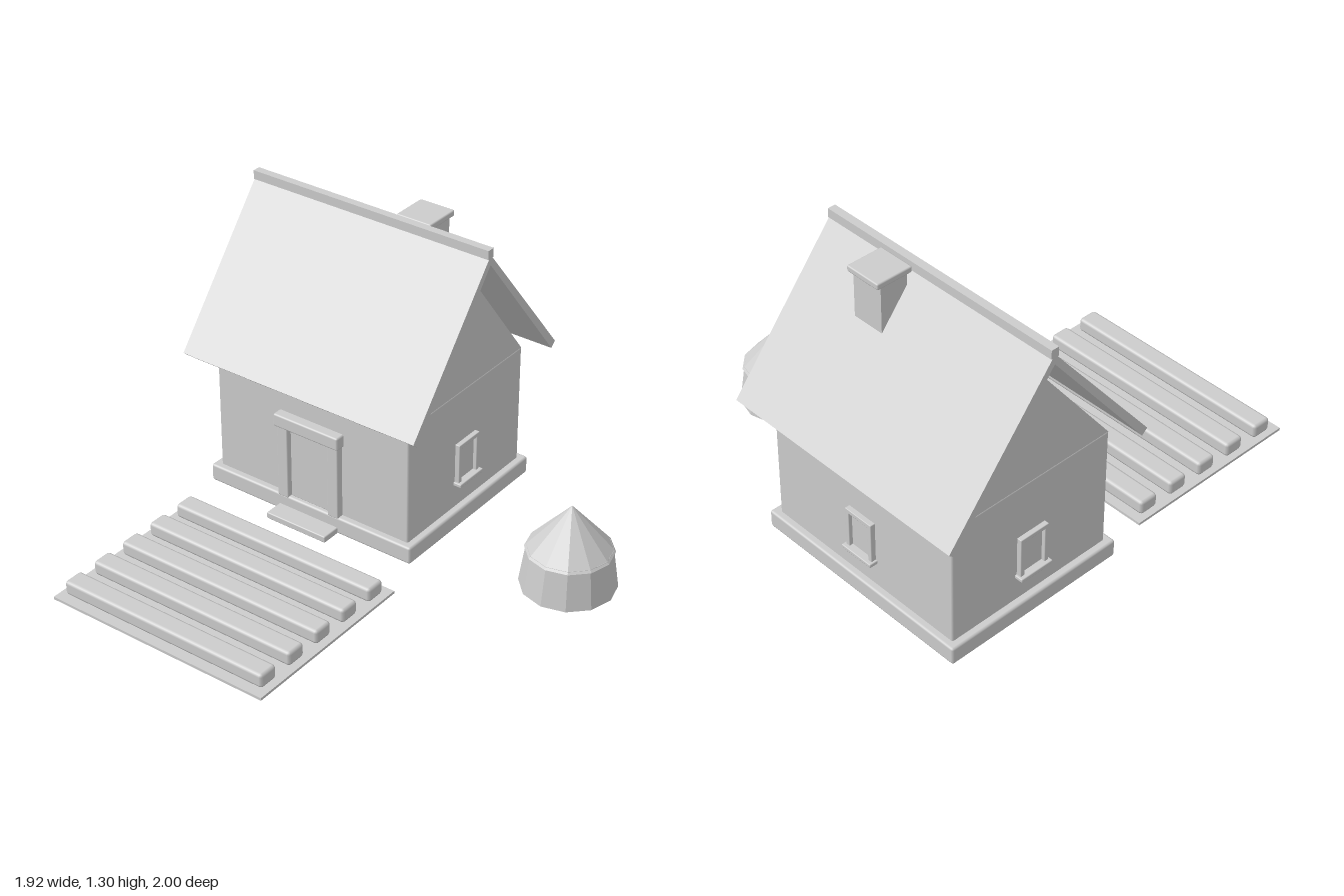
import * as THREE from 'three';
import { RoundedBoxGeometry } from 'three/addons/geometries/RoundedBoxGeometry.js';

const clay = new THREE.MeshStandardMaterial({ color: 0xcccccc });
clay.name = 'plain grey';

function add(parent, name, geometry, x = 0, y = 0, z = 0) {
  const mesh = new THREE.Mesh(geometry, clay);
  mesh.name = name;
  mesh.position.set(x, y, z);
  parent.add(mesh);
  return mesh;
}

// Box given by its limits on each axis, with an optional bevel
function box(parent, name, [x0, x1], [y0, y1], [z0, z1], bevel = 0) {
  const w = x1 - x0, h = y1 - y0, d = z1 - z0;
  const geometry = bevel
    ? new RoundedBoxGeometry(w, h, d, 1, bevel)
    : new THREE.BoxGeometry(w, h, d);
  return add(parent, name, geometry, (x0 + x1) / 2, (y0 + y1) / 2, (z0 + z1) / 2);
}

// Profile of [z, y] points pushed along x, centred on x = 0
function extrudeAlongX(points, width) {
  const shape = new THREE.Shape(points.map(([z, y]) => new THREE.Vector2(-z, y)));
  const geometry = new THREE.ExtrudeGeometry(shape, { depth: width, bevelEnabled: false });
  geometry.translate(0, 0, -width / 2);
  geometry.rotateY(Math.PI / 2);
  return geometry;
}

// Framed window facing +z, with its wall plane at z = 0
function makeWindow(name) {
  const win = new THREE.Group();
  win.name = name;
  for (const s of [-1, 1]) {
    const c = s * 0.063;
    box(win, 'windowJamb', [c - 0.01, c + 0.01], [0.2, 0.39], [-0.005, 0.022], 0.003);
  }
  box(win, 'windowHead', [-0.073, 0.073], [0.37, 0.39], [-0.005, 0.022], 0.003);
  box(win, 'windowSill', [-0.082, 0.082], [0.19, 0.207], [-0.005, 0.038], 0.004);
  box(win, 'windowPane', [-0.055, 0.055], [0.205, 0.372], [-0.002, 0.005]);
  return win;
}

function makeHouse() {
  const house = new THREE.Group();
  house.name = 'house';
  house.position.set(-0.365, 0, -0.485);

  // Base and walls
  box(house, 'foundation', [-0.53, 0.53], [0, 0.08], [-0.435, 0.435], 0.01);
  box(house, 'walls', [-0.497, 0.497], [0.07, 0.635], [-0.405, 0.405], 0.008);

  // Gable ends
  const gable = extrudeAlongX([[-0.405, 0.63], [0.405, 0.63], [0, 1.155]], 0.03);
  for (const s of [-1, 1]) add(house, 'gable', gable, s * 0.48);

  // Roof slabs and ridge
  const slab = extrudeAlongX([[0, 1.28], [0.51, 0.65], [0.483, 0.627], [0, 1.235]], 1.19);
  add(house, 'frontRoof', slab);
  add(house, 'backRoof', slab).rotation.y = Math.PI;
  box(house, 'ridge', [-0.595, 0.595], [1.265, 1.305], [-0.018, 0.018]);

  // Chimney
  box(house, 'chimney', [0.12, 0.27], [0.7, 1.28], [-0.177, -0.048]);
  box(house, 'chimneyCap', [0.11, 0.28], [1.273, 1.3], [-0.2, -0.03], 0.006);

  // Door
  box(house, 'door', [-0.103, 0.103], [0.08, 0.415], [0.4, 0.416], 0.003);
  for (const s of [-1, 1]) {
    const c = s * 0.132;
    box(house, 'doorJamb', [c - 0.027, c + 0.027], [0.075, 0.43], [0.395, 0.438], 0.005);
  }
  box(house, 'lintel', [-0.168, 0.168], [0.422, 0.482], [0.395, 0.45], 0.008);
  box(house, 'doorstep', [-0.155, 0.155], [0, 0.03], [0.42, 0.523], 0.005);

  // Windows on the back and both ends
  const back = makeWindow('backWindow');
  back.position.z = -0.405;
  back.rotation.y = Math.PI;
  house.add(back);
  for (const s of [-1, 1]) {
    const side = makeWindow('sideWindow');
    side.position.x = s * 0.497;
    side.rotation.y = s * Math.PI / 2;
    house.add(side);
  }
  return house;
}

function makeGarden() {
  const garden = new THREE.Group();
  garden.name = 'garden';
  box(garden, 'gardenGround', [-0.845, 0.23], [0, 0.012], [0.145, 1]);
  for (let i = 0; i < 5; i++) {
    const z = 0.228 + i * 0.171;
    box(garden, 'gardenRow', [-0.82, 0.2], [0.012, 0.077], [z - 0.046, z + 0.046], 0.014);
  }
  return garden;
}

function makeHaystack() {
  const stack = new THREE.Group();
  stack.name = 'haystack';
  stack.position.set(0.752, 0, -0.34);
  const body = new THREE.CylinderGeometry(0.178, 0.204, 0.18, 12).toNonIndexed();
  const top = new THREE.ConeGeometry(0.186, 0.21, 12).toNonIndexed();
  for (const g of [body, top]) g.computeVertexNormals();
  add(stack, 'haystackBody', body, 0, 0.09, 0);
  add(stack, 'haystackTop', top, 0, 0.275, 0);
  return stack;
}

export function createModel() {
  const model = new THREE.Group();
  model.name = 'cottage';
  model.add(makeHouse(), makeGarden(), makeHaystack());
  return model;
}
